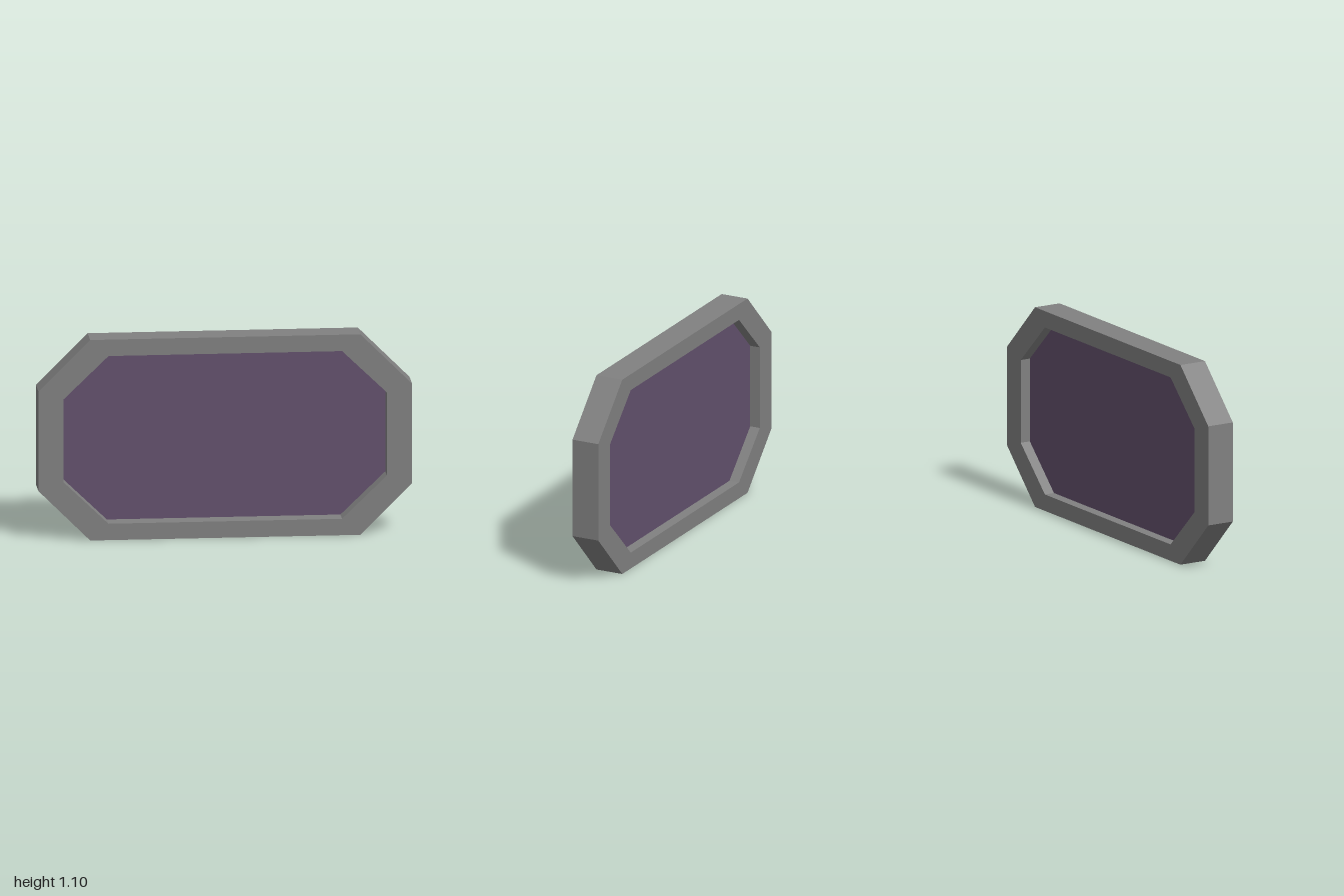
import * as THREE from 'three';

// Corner points of a rectangle with its corners cut off, centred on (0, cy)
function octagon(halfW, halfH, cutX, cutY, cy) {
  const x = halfW - cutX, y = halfH - cutY;
  return [
    [halfW, -y], [halfW, y], [x, halfH], [-x, halfH],
    [-halfW, y], [-halfW, -y], [-x, -halfH], [x, -halfH],
  ].map(([px, py]) => new THREE.Vector2(px, py + cy));
}

export function createModel() {
  const group = new THREE.Group();
  group.name = 'framedWindow';

  const frameGrey = new THREE.MeshStandardMaterial({ color: 0x808080 });
  frameGrey.name = 'frameGrey';
  const panePurple = new THREE.MeshStandardMaterial({ color: 0x62506c, side: THREE.DoubleSide });
  panePurple.name = 'panePurple';

  const depth = 0.155, midY = 0.55;
  const opening = octagon(0.865, 0.46, 0.24, 0.232, midY);

  // Eight-sided frame with an opening
  const outline = new THREE.Shape(octagon(1, 0.55, 0.277, 0.277, midY));
  outline.holes.push(new THREE.Path(opening));
  const frameGeometry = new THREE.ExtrudeGeometry(outline, { depth, bevelEnabled: false });
  frameGeometry.translate(0, 0, -depth / 2);
  const frame = new THREE.Mesh(frameGeometry, frameGrey);
  frame.name = 'frame';
  group.add(frame);

  // Flat pane set a little behind the middle of the frame
  const pane = new THREE.Mesh(new THREE.ShapeGeometry(new THREE.Shape(opening)), panePurple);
  pane.name = 'pane';
  pane.position.z = -0.02;
  group.add(pane);

  return group;
}
